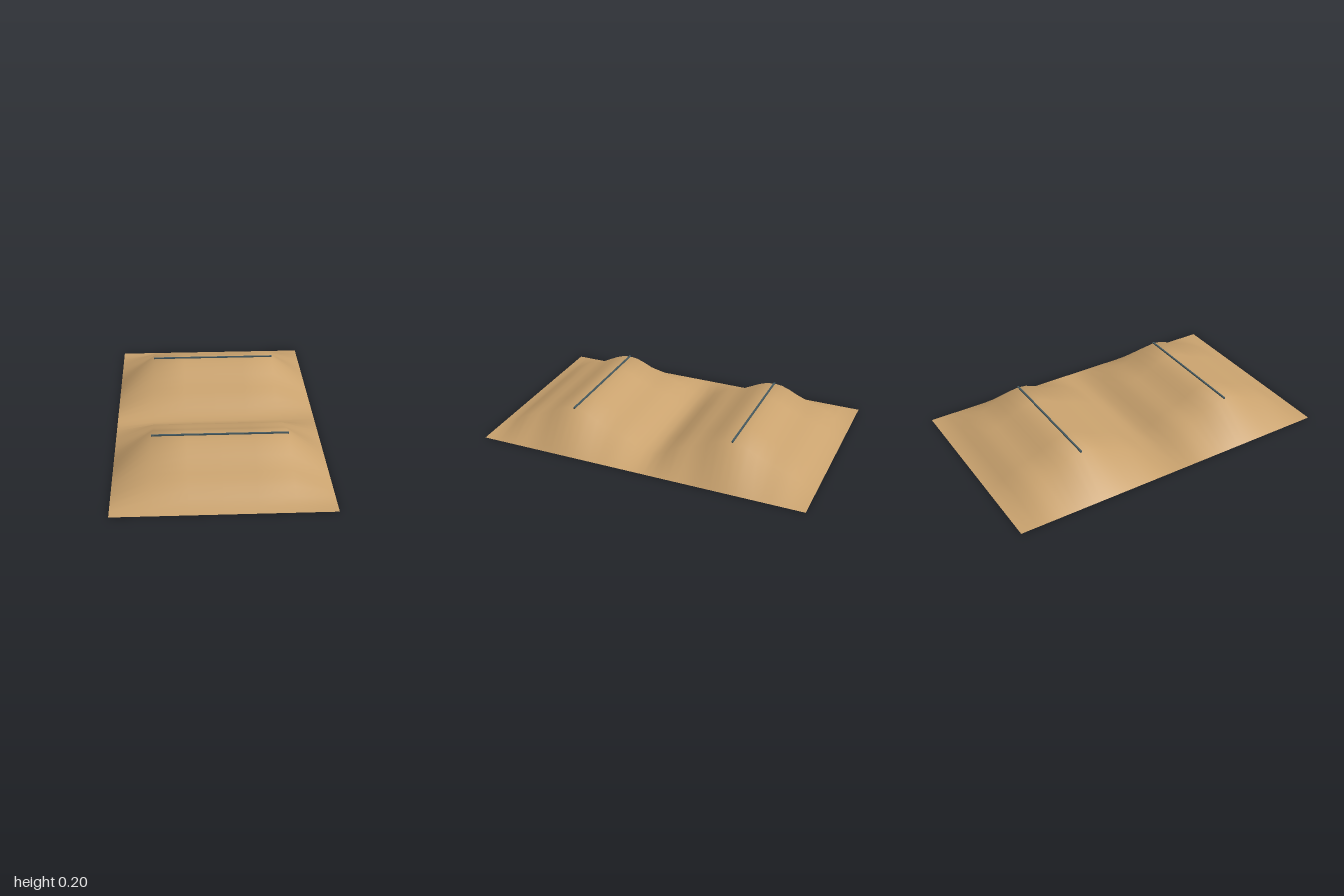
import * as THREE from 'three';

const tan = new THREE.MeshStandardMaterial({ color: 0xc9a26e, side: THREE.DoubleSide });
tan.name = 'tan fabric';
const slate = new THREE.MeshStandardMaterial({ color: 0x465a60 });
slate.name = 'slate rail';

// Rise of one ridge from valley to crest, every 0.05 units along z
const rise = [0, 0.011, 0.038, 0.068, 0.09, 0.104, 0.121, 0.146, 0.171, 0.189, 0.195];
const halfWidth = 0.61, crestHalf = 0.385, step = 0.05, rows = 40;
const columns = [-halfWidth, -crestHalf, -0.19, 0, 0.19, crestHalf, halfWidth];

function createSheet() {
  // Grid of two ridges whose flanks fall straight to the ground at both sides
  const geometry = new THREE.PlaneGeometry(2 * halfWidth, 2, columns.length - 1, rows);
  geometry.rotateX(-Math.PI / 2);
  const position = geometry.attributes.position;
  for (let i = 0; i < position.count; i++) {
    const column = i % columns.length;
    const row = Math.floor(i / columns.length);
    const k = row % 20;
    const height = rise[k <= 10 ? k : 20 - k];
    const onEdge = column === 0 || column === columns.length - 1;
    position.setXYZ(i, columns[column], onEdge ? 0 : height, -1 + row * step);
  }
  geometry.computeVertexNormals();
  const sheet = new THREE.Mesh(geometry, tan);
  sheet.name = 'ridgedSheet';
  return sheet;
}

export function createModel() {
  const group = new THREE.Group();
  group.name = 'doubleRidge';
  group.add(createSheet());

  // Thin rail along each crest
  for (const z of [-0.5, 0.5]) {
    const rail = new THREE.Mesh(new THREE.BoxGeometry(0.776, 0.01, 0.01), slate);
    rail.position.set(0, 0.197, z);
    rail.name = z > 0 ? 'frontCrestRail' : 'backCrestRail';
    group.add(rail);
  }
  return group;
}
